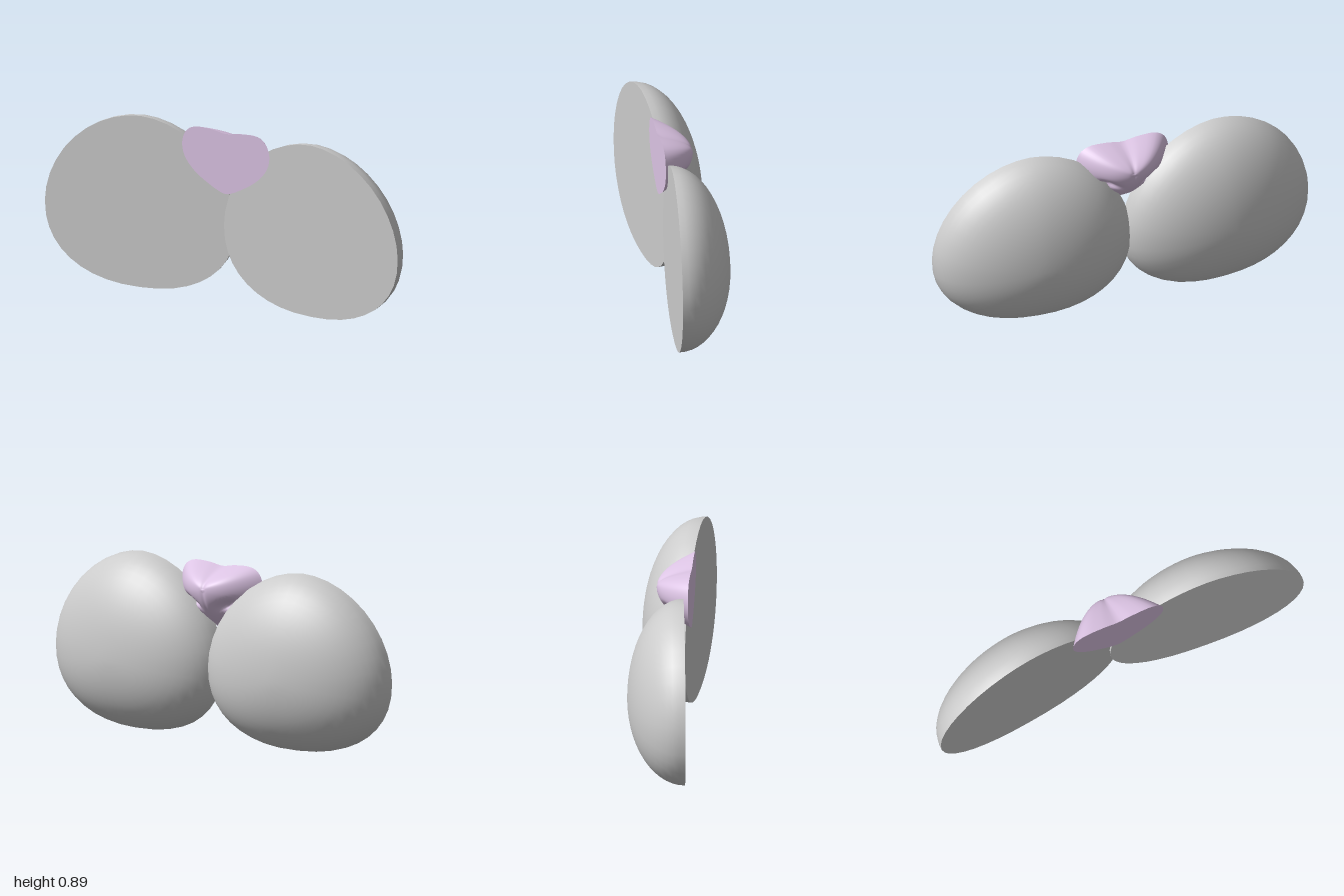
import * as THREE from 'three';
import { mergeGeometries } from 'three/addons/utils/BufferGeometryUtils.js';

// Flat-fronted dome: the outline (counter-clockwise, around 0,0) shrinks to an apex towards -z.
function domeGeometry(outline, rings, profile, dent = () => 0) {
  const n = outline.length, pos = [], index = [];
  pos.push(0, 0, -profile(0)[1]);
  for (let k = 1; k <= rings; k++) {
    const [r, depth] = profile(k / rings);
    for (const p of outline) {
      const x = p.x * r, y = p.y * r;
      pos.push(x, y, -depth + (k < rings ? dent(x, y) : 0));
    }
  }
  for (let i = 0; i < n; i++) {
    const j = (i + 1) % n;
    index.push(0, 1 + j, 1 + i);
    for (let k = 0; k < rings - 1; k++) {
      const a = 1 + k * n, b = a + n;
      index.push(a + i, a + j, b + j, a + i, b + j, b + i);
    }
  }
  const shell = new THREE.BufferGeometry();
  shell.setAttribute('position', new THREE.Float32BufferAttribute(pos, 3));
  shell.setIndex(index);
  shell.computeVertexNormals();
  const cap = new THREE.ShapeGeometry(new THREE.Shape(outline));
  cap.deleteAttribute('uv');
  return mergeGeometries([shell, cap]);
}

// Egg outline: pointed a little at the top, squarer at the bottom.
function cheekOutline(count) {
  return Array.from({ length: count }, (_, i) => {
    const t = (i / count) * Math.PI * 2, c = Math.cos(t), s = Math.sin(t);
    const e = s > 0 ? 2 / 1.88 : 2 / 2.25;
    return new THREE.Vector2(
      0.515 * Math.sign(c) * Math.abs(c) ** e,
      (s > 0 ? 0.505 : 0.39) * Math.sign(s) * Math.abs(s) ** e);
  });
}

export function createModel() {
  const model = new THREE.Group();
  const grey = new THREE.MeshStandardMaterial({ color: 0xcccccc, side: THREE.DoubleSide });
  const pink = new THREE.MeshStandardMaterial({ color: 0xdcc4e4, side: THREE.DoubleSide });

  // Two overlapping cheek pads, each turned slightly
  const round = t => [Math.sin(t * Math.PI / 2), 0.282 * Math.cos(t * Math.PI / 2)];
  const cheekGeometry = domeGeometry(cheekOutline(40), 14, round);
  for (const [name, x, z, turn] of [['leftCheek', 0.485, 0.128, -0.112], ['rightCheek', -0.485, 0.085, 0.06]]) {
    const cheek = new THREE.Mesh(cheekGeometry, grey);
    cheek.name = name;
    cheek.position.set(x, 0.39, z);
    cheek.rotation.y = turn;
    model.add(cheek);
  }

  // Nose: rounded triangle outline with a notch in the top edge
  const half = [[0.03, -0.21], [0.1, -0.175], [0.18, -0.12], [0.235, -0.05], [0.247, 0.02],
    [0.225, 0.08], [0.18, 0.108], [0.08, 0.109]];
  const points = [[0, -0.217], ...half, [0, 0.097], ...half.map(([x, y]) => [-x, y]).reverse()];
  const curve = new THREE.CatmullRomCurve3(points.map(([x, y]) => new THREE.Vector3(x, y, 0)), true);
  const outline = curve.getPoints(72).slice(0, -1).map(p => new THREE.Vector2(p.x, p.y));
  // Slanted nostril dents and a shallow centre groove
  const nostrils = (x, y) => {
    const u = Math.abs(x) - 0.1, v = y + 0.075 - u * 0.4;
    return 0.045 * Math.exp(-((u / 0.04) ** 2) - (v / 0.02) ** 2) + 0.005 * Math.exp(-((x / 0.012) ** 2));
  };
  const nose = new THREE.Mesh(domeGeometry(outline, 24, t => [t, 0.175 * (1 - t * t)], nostrils), pink);
  nose.name = 'nose';
  nose.position.set(0, 0.78, 0.104);
  nose.rotation.y = -0.04;
  model.add(nose);

  return model;
}
